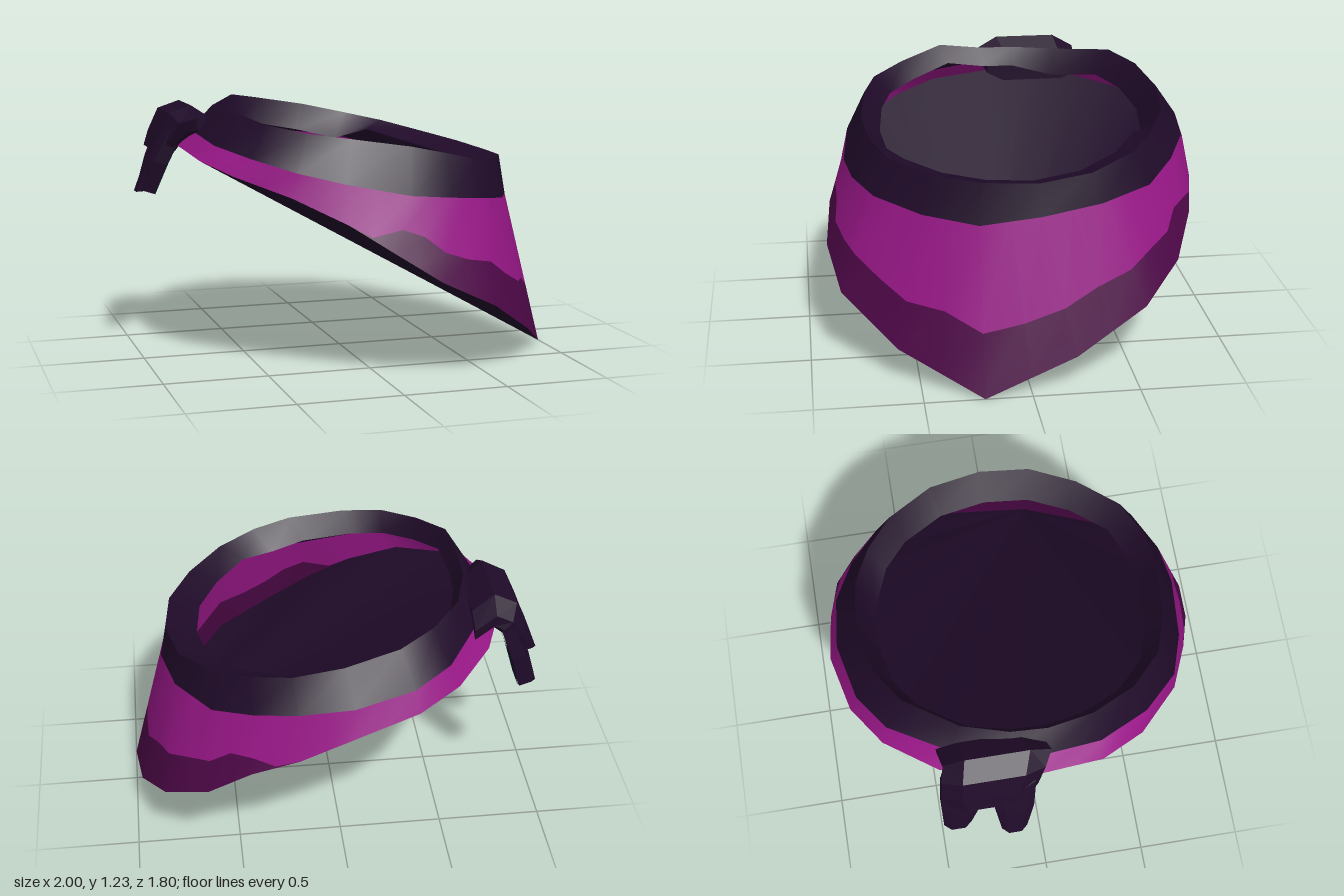
import * as THREE from 'three';

const mat = (name, color) => {
  const m = new THREE.MeshStandardMaterial({ color, side: THREE.DoubleSide });
  m.name = name;
  return m;
};

// Skin a list of equal-length rings of [x, y, z] points
function skin(rings, { closed = true, caps = false, flat = false } = {}) {
  const n = rings[0].length, index = [];
  const quads = closed ? n : n - 1;
  for (let r = 0; r < rings.length - 1; r++)
    for (let i = 0; i < quads; i++) {
      const a = r * n + i, b = r * n + (i + 1) % n;
      index.push(a, a + n, b, b, a + n, b + n);
    }
  if (caps) for (let i = 1; i < n - 1; i++) {
    const e = (rings.length - 1) * n;
    index.push(0, i, i + 1, e, e + i + 1, e + i);
  }
  let g = new THREE.BufferGeometry();
  g.setAttribute('position', new THREE.Float32BufferAttribute(rings.flat(2), 3));
  g.setIndex(index);
  if (flat) g = g.toNonIndexed();
  g.computeVertexNormals();
  return g;
}

const mix = (a, b, t) => a.map((v, k) => v + (b[k] - v) * t);
// Insert a midpoint on every edge of a closed ring
const refine = ring => ring.flatMap((p, i) => [p, mix(p, ring[(i + 1) % ring.length], 0.5)]);

// Lower hem of the cloth, from the pointed tip round by the front
const HEM = [
  [1, 0, .22], [.77, .165, .6], [.5, .345, .845], [.22, .48, .9], [0, .62, .875],
  [-.2, .75, .81], [-.44, .87, .705], [-.66, .95, .5], [-.77, 1, .29], [-.8, 1.03, 0],
  [-.8, 1.03, -.2], [-.7, 1.01, -.47], [-.52, .98, -.71], [-.32, .94, -.84], [-.03, .875, -.905],
  [.23, .75, -.885], [.45, .655, -.835], [.65, .49, -.74], [.85, .35, -.55], [.965, .17, -.21],
];
// Lower edge of the rolled band, matched point by point
const FOLD = [
  [.8, .77, .22], [.68, .79, .47], [.5, .825, .68], [.3, .85, .77], [.1, .87, .8],
  [-.2, .93, .77], [-.41, .98, .7], [-.58, 1.03, .53], [-.7, 1.07, .29], [-.73, 1.1, .05],
  [-.72, 1.11, -.15], [-.65, 1.1, -.4], [-.48, 1.08, -.68], [-.3, 1.04, -.8], [-.02, 1, -.86],
  [.23, .97, -.835], [.43, .92, -.74], [.61, .86, -.6], [.77, .84, -.35], [.83, .81, -.06],
];
// Height of the band's top edge at each point
const RIM_Y = [.965, .975, 1, 1.045, 1.085, 1.125, 1.15, 1.18, 1.23, 1.2,
  1.2, 1.2, 1.23, 1.2, 1.155, 1.105, 1.065, 1.02, .98, .96];
// Height of the dark border as a fraction of the cloth, at points and midpoints
const BORDER = [.38, .41, .36, .37, .41, .36, .35, .44, .42, .04, ...Array(20).fill(0),
  0, .03, .28, .43, .38, .37, .36, .37, .35, .35];

export function createModel() {
  const group = new THREE.Group();
  const dark = mat('dark plum', 0x1f0a28);
  const purple = mat('bright purple', 0x981787);
  const border = mat('deep purple', 0x4e0848);
  const teal = mat('dark teal', 0x071b2e);
  const add = (name, geo, material, parent = group) => {
    const m = new THREE.Mesh(geo, material);
    m.name = name;
    parent.add(m);
    return m;
  };

  // Cloth, split along a wavy line
  const hem = refine(HEM), fold = refine(FOLD);
  const wave = hem.map((p, i) => mix(p, fold[i], BORDER[i]));
  add('clothBorder', skin([hem, wave]), border);
  add('cloth', skin([wave, fold]), purple);

  // Underside, fanned from the tip
  add('underside', skin([HEM, HEM.map(() => HEM[0])]), dark);

  // Rolled band: outer face, then lip turned inward, deeper at the back
  const rim = FOLD.map(([x, , z], i) => [.034 + x * .923, RIM_Y[i], .006 + z * .88]);
  const lip = FOLD.map(([x, , z], i) => {
    const drop = i > 10 && i < 16 ? .13 : x > .3 ? .04 : .09;
    return [x * .8 - .015, RIM_Y[i] - drop, z * .775];
  });
  add('bandOuter', skin([FOLD, rim]), dark);
  add('bandLip', skin([rim, lip]), dark);

  // Knot: chamfered sections [x, y, z, half width, half thickness, tilt] bending outward
  const section = ([x, y, z, w, t, tilt]) =>
    [[-1, -.4], [-.65, -1], [.65, -1], [1, -.4], [1, .3], [.6, 1], [-.6, 1], [-1, .3]]
      .map(([u, v]) => [x - Math.sin(tilt) * v * t, y + Math.cos(tilt) * v * t, z + u * w]);
  const knot = new THREE.Group();
  knot.name = 'knot';
  group.add(knot);
  add('knotHub', skin([
    [-.63, 1.09, -.23, .24, .07, 0], [-.73, 1.15, -.2, .25, .08, .1],
    [-.79, 1.13, -.23, .24, .08, .7], [-.835, 1.06, -.25, .22, .06, 1.2],
    [-.87, .99, -.26, .18, .05, 1.2],
  ].map(section), { caps: true, flat: true }), dark, knot);

  // Two hanging tails with teal inner faces
  const tails = [
    [[-.83, 1.09, -.15, .11], [-.9, .94, -.15, .09], [-.955, .795, -.16, .06]],
    [[-.8, 1.09, -.36, .11], [-.855, .94, -.39, .095], [-.895, .79, -.42, .065]],
  ];
  for (const path of tails) {
    const rings = path.map(([x, y, z, w]) => [
      [x + .04, y, z - w], [x + .04, y, z + w], [x - .02, y + .02, z + w],
      [x - .045, y + .01, z + w * .5], [x - .045, y + .01, z - w * .5], [x - .02, y + .02, z - w],
    ]);
    add('knotTail', skin(rings, { caps: true, flat: true }), dark, knot);
    const inner = rings.map(r => r.slice(0, 2).map(([x, y, z]) => [x + .004, y - .002, z]));
    add('tailInnerFace', skin(inner, { closed: false, flat: true }), teal, knot);
  }

  // Small star patches lying on the border
  const starShape = new THREE.Shape(Array.from({ length: 10 }, (_, i) => {
    const a = Math.PI / 2 + i * Math.PI / 5, r = i % 2 ? .025 : .055;
    return new THREE.Vector2(Math.cos(a) * r, Math.sin(a) * r);
  }));
  for (const [i, s, h] of [[19, .14, .15], [0, .8, .16]]) {
    const j = (i + 1) % HEM.length;
    const at = t => new THREE.Vector3(...mix(mix(HEM[i], FOLD[i], h), mix(HEM[j], FOLD[j], h), t));
    const up = new THREE.Vector3(...mix(FOLD[i], FOLD[j], s))
      .sub(new THREE.Vector3(...mix(HEM[i], HEM[j], s)));
    const normal = at(0).sub(at(1)).cross(up).normalize();
    const star = add('star', new THREE.ShapeGeometry(starShape), border);
    star.position.copy(at(s)).addScaledVector(normal, .009);
    star.quaternion.setFromUnitVectors(new THREE.Vector3(0, 0, 1), normal);
  }
  return group;
}
